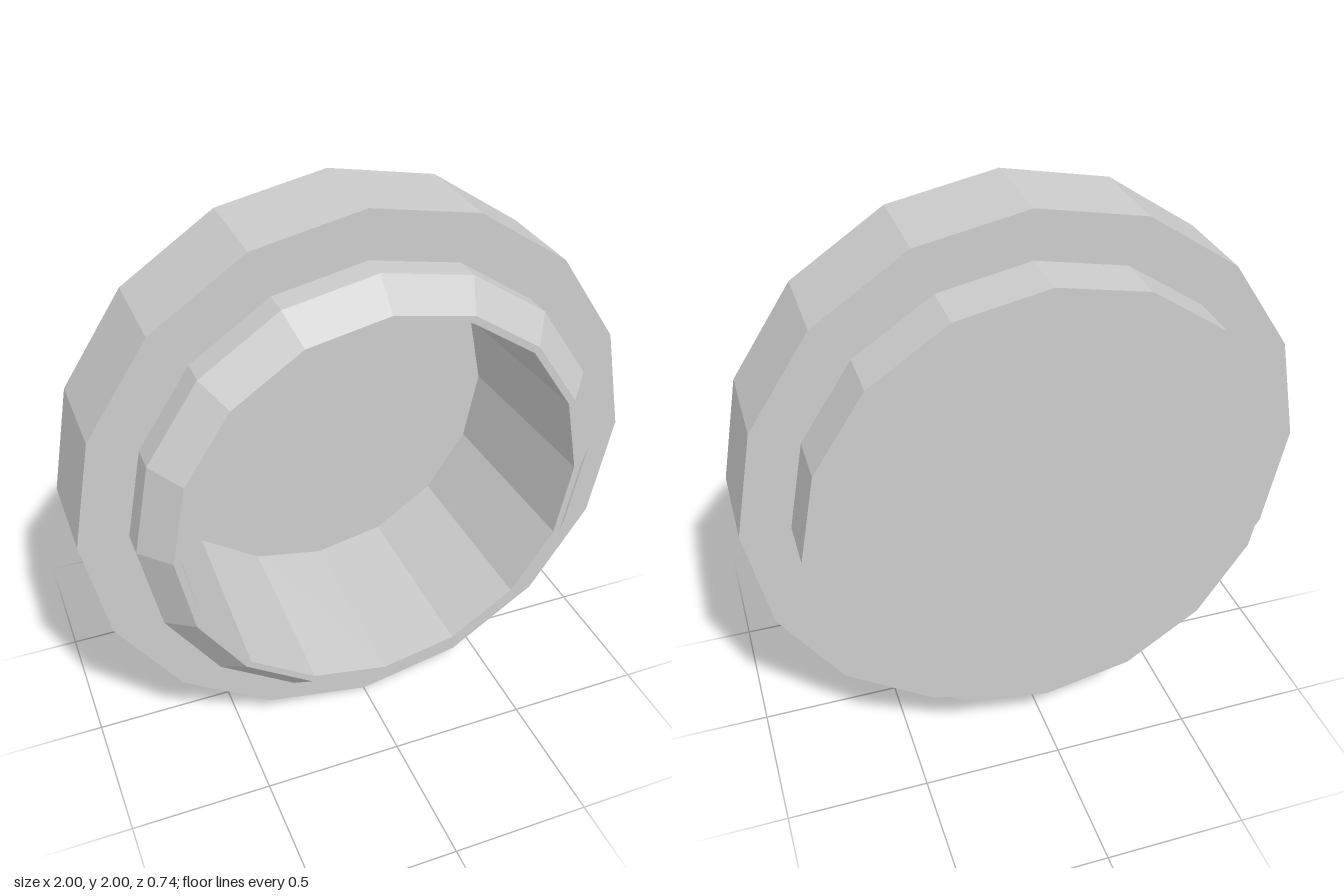
import * as THREE from 'three';

const SIDES = 16;

// Turns a [radius, z] profile, listed from back to front, around the z axis.
function turned(name, profile, material) {
  const points = profile.map(([r, z]) => new THREE.Vector2(r, z));
  const geometry = new THREE.LatheGeometry(points, SIDES);
  geometry.rotateX(Math.PI / 2);
  const mesh = new THREE.Mesh(geometry, material);
  mesh.name = name;
  mesh.position.y = 1;
  return mesh;
}

export function createModel() {
  const group = new THREE.Group();
  group.name = 'flangedCup';
  const material = new THREE.MeshStandardMaterial({ color: 0xcccccc, flatShading: true });

  // Cup: closed back, straight wall, chamfered lip, tapered cavity and floor
  group.add(turned('cup', [
    [0, -0.37], [0.83, -0.37], [0.83, 0.27], [0.735, 0.37],
    [0.71, 0.37], [0.68, -0.31], [0, -0.31],
  ], material));

  // Wide flange around the middle of the cup
  group.add(turned('flange', [
    [0.83, -0.175], [1, -0.175], [1, 0.175], [0.83, 0.175],
  ], material));

  return group;
}
